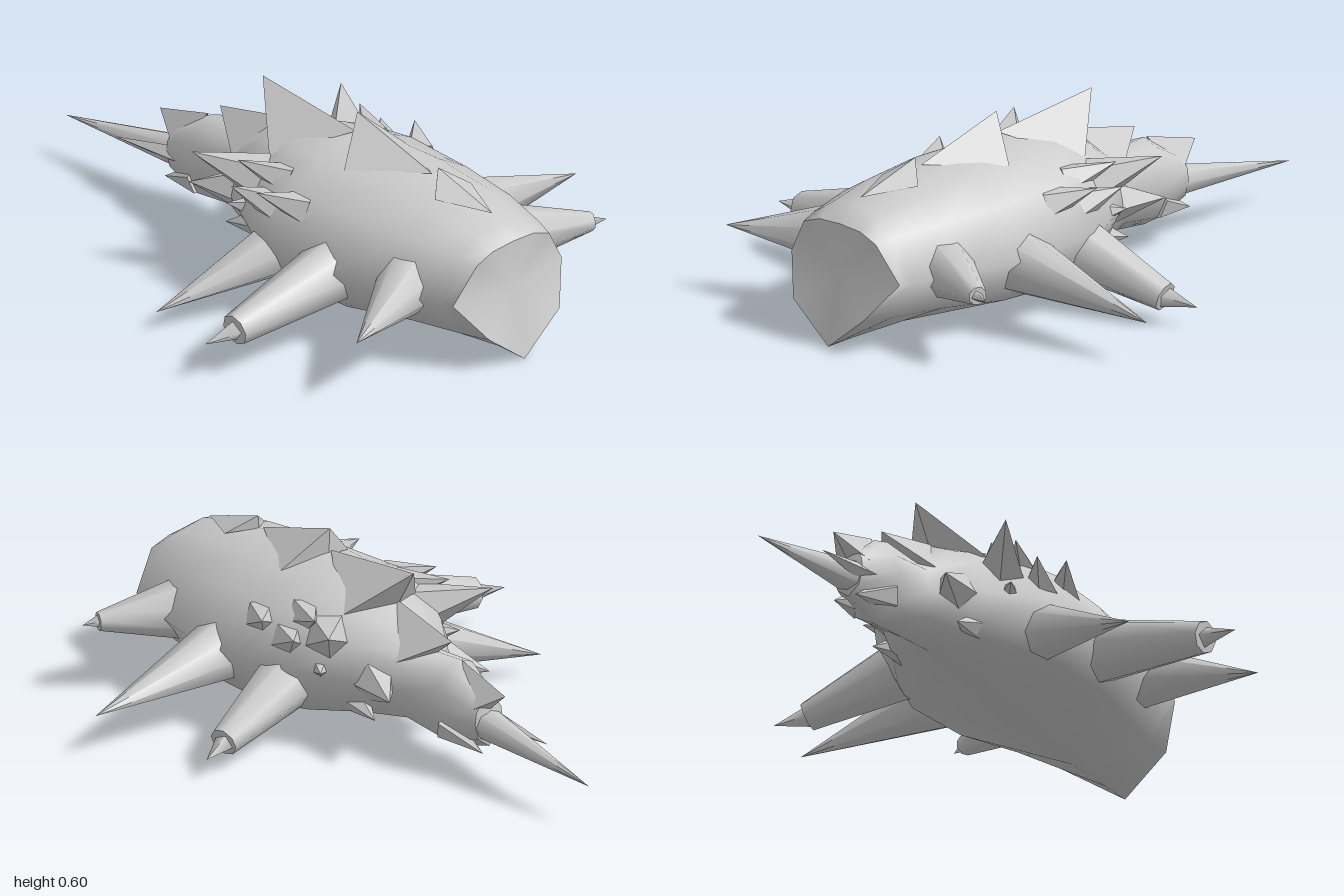
import * as THREE from 'three';

const material = new THREE.MeshStandardMaterial({ color: 0xcccccc, side: THREE.DoubleSide });
const flatMaterial = new THREE.MeshStandardMaterial({ color: 0xcccccc, side: THREE.DoubleSide, flatShading: true });

// Body rings, front to back: z, top y, four x/y pairs down the flank, bottom y
const RINGS = [
  [0.95, 0.39, 0.09, 0.385, 0.16, 0.36, 0.24, 0.24, 0.155, 0.12, 0],
  [0.89, 0.44, 0.1, 0.42, 0.18, 0.37, 0.26, 0.24, 0.17, 0.11, 0.005],
  [0.72, 0.48, 0.12, 0.45, 0.22, 0.39, 0.32, 0.25, 0.21, 0.11, 0.012],
  [0.5, 0.505, 0.13, 0.47, 0.25, 0.4, 0.365, 0.25, 0.27, 0.1, 0.03],
  [0.25, 0.52, 0.13, 0.47, 0.26, 0.41, 0.355, 0.26, 0.28, 0.1, 0.07],
  [0.1, 0.51, 0.12, 0.46, 0.23, 0.41, 0.31, 0.26, 0.23, 0.11, 0.095],
  [-0.06, 0.46, 0.09, 0.42, 0.17, 0.36, 0.21, 0.25, 0.14, 0.13, 0.1],
  [-0.2, 0.35, 0.05, 0.335, 0.09, 0.3, 0.1, 0.23, 0.08, 0.14, 0.092],
  [-0.36, 0.365, 0.05, 0.345, 0.085, 0.29, 0.1, 0.22, 0.07, 0.12, 0.08],
  [-0.5, 0.28, 0.03, 0.27, 0.05, 0.24, 0.055, 0.2, 0.04, 0.15, 0.12],
];

// Full closed outline of one ring; the first ring has a bent front rim
function outline(r, first) {
  const half = [[0, r[1]], [r[2], r[3]], [r[4], r[5]], [r[6], r[7]], [r[8], r[9]], [0, r[10]]];
  const mirrored = half.slice(1, 5).reverse().map(([x, y]) => [-x, y]);
  return [...half, ...mirrored].map(([x, y]) => {
    const z = !first ? r[0] : y < 0.2 ? 1 : y < 0.3 ? 0.925 : 0.95;
    return new THREE.Vector3(x, y, z);
  });
}

function geometryFrom(points, index) {
  const g = new THREE.BufferGeometry().setFromPoints(points);
  g.setIndex(index);
  g.computeVertexNormals();
  return g;
}

function add(group, name, geometry, mat = material) {
  const mesh = new THREE.Mesh(geometry, mat);
  mesh.name = name;
  group.add(mesh);
  return mesh;
}

function cap(ring, centre, flip) {
  const index = [];
  ring.forEach((_, i) => {
    const j = (i + 1) % ring.length;
    index.push(ring.length, ...(flip ? [i, j] : [j, i]));
  });
  return geometryFrom([...ring, new THREE.Vector3(...centre)], index);
}

// Tapered limb between two points; a zero end radius makes a spike
function taper(group, name, a, b, ra, rb = 0, sides = 8, flat = false) {
  const start = new THREE.Vector3(...a);
  const dir = new THREE.Vector3(...b).sub(start);
  const g = new THREE.CylinderGeometry(rb, ra, dir.length(), sides, 1);
  const mesh = add(group, name, g, flat ? flatMaterial : material);
  mesh.position.copy(start).addScaledVector(dir, 0.5);
  mesh.quaternion.setFromUnitVectors(new THREE.Vector3(0, 1, 0), dir.normalize());
}

// Overhanging plate on the back: forward point, two side corners, tip and underside
function backPlate(group, tipY, tipZ, width, sideY, sideZ, frontY, frontZ, underY, underZ) {
  const p = [
    [0, frontY, frontZ], [width, sideY, sideZ], [0, tipY, tipZ],
    [-width, sideY, sideZ], [0, underY, underZ],
  ].map((v) => new THREE.Vector3(...v));
  add(group, 'backPlate', geometryFrom(p, [0, 2, 1, 0, 3, 2, 1, 2, 4, 2, 3, 4]), flatMaterial);
}

export function createModel() {
  const model = new THREE.Group();
  model.name = 'spikedCreature';

  // Lofted body with end caps
  const rings = RINGS.map((r, i) => outline(r, i === 0));
  const n = rings[0].length;
  const index = [];
  for (let k = 0; k < rings.length - 1; k++) {
    for (let i = 0; i < n; i++) {
      const a = k * n + i, b = k * n + (i + 1) % n;
      index.push(a, b, a + n, b, b + n, a + n);
    }
  }
  add(model, 'body', geometryFrom(rings.flat(), index));
  add(model, 'face', cap(rings[0], [0, 0.24, 0.95], false));
  add(model, 'tailEnd', cap(rings[rings.length - 1], [0, 0.2, -0.52], true));

  // Row of plates along the spine
  const spine = new THREE.Group();
  spine.name = 'spinePlates';
  backPlate(spine, 0.53, 0.625, 0.08, 0.47, 0.69, 0.455, 0.86, 0.49, 0.62);
  backPlate(spine, 0.6, 0.275, 0.135, 0.47, 0.35, 0.5, 0.6, 0.51, 0.28);
  backPlate(spine, 0.58, -0.135, 0.15, 0.42, 0.04, 0.53, 0.27, 0.44, -0.05);
  backPlate(spine, 0.41, -0.32, 0.1, 0.32, -0.17, 0.47, -0.04, 0.33, -0.22);
  backPlate(spine, 0.31, -0.58, 0.06, 0.24, -0.47, 0.365, -0.37, 0.24, -0.5);
  model.add(spine);

  // Legs: one of each pair is a plain spike, the other is blunt with a claw
  const legs = new THREE.Group();
  legs.name = 'legs';
  taper(legs, 'rightFrontLeg', [-0.22, 0.25, 0.72], [-0.6, 0.22, 0.86], 0.105);
  taper(legs, 'leftFrontLeg', [0.22, 0.25, 0.72], [0.48, 0.24, 0.82], 0.1, 0.03);
  taper(legs, 'leftFrontClaw', [0.47, 0.24, 0.82], [0.53, 0.235, 0.835], 0.022, 0, 4);
  taper(legs, 'leftMiddleLeg', [0.28, 0.22, 0.45], [0.82, 0.14, 0.42], 0.105);
  taper(legs, 'rightMiddleLeg', [-0.28, 0.22, 0.45], [-0.7, 0.15, 0.43], 0.105, 0.052);
  taper(legs, 'rightMiddleClaw', [-0.69, 0.15, 0.43], [-0.82, 0.14, 0.42], 0.035, 0, 4);
  taper(legs, 'rightRearLeg', [-0.22, 0.2, 0.19], [-0.67, 0.07, 0.06], 0.1);
  taper(legs, 'leftRearLeg', [0.22, 0.21, 0.18], [0.57, 0.09, 0.1], 0.105, 0.048);
  taper(legs, 'leftRearClaw', [0.56, 0.09, 0.1], [0.67, 0.07, 0.06], 0.035, 0, 4);
  model.add(legs);

  // Flank spikes, mirrored: tip, base centre, base radius
  const spikes = [
    [[0.33, 0.44, -0.12], [0.19, 0.36, 0.05], 0.08],
    [[0.2, 0.24, -0.26], [0.11, 0.25, -0.06], 0.09],
    [[0.16, 0.13, -0.14], [0.13, 0.17, 0.02], 0.06],
    [[0.27, 0.44, 0.02], [0.19, 0.39, 0.17], 0.06],
    [[0.33, 0.38, 0.05], [0.24, 0.32, 0.19], 0.07],
    [[0.35, 0.41, 0.18], [0.25, 0.36, 0.3], 0.06],
    [[0.28, 0.28, -0.02], [0.18, 0.26, 0.1], 0.07],
    [[0.1, 0.11, -0.52], [0.05, 0.16, -0.36], 0.05],
  ];
  for (const side of [1, -1]) {
    const flank = new THREE.Group();
    flank.name = side > 0 ? 'leftFlankSpikes' : 'rightFlankSpikes';
    for (const [tip, base, radius] of spikes) {
      const narrow = tip[2] < -0.5 ? 0.4 : 1;
      taper(flank, 'flankSpike', [side * base[0], base[1], base[2]],
        [side * tip[0] * narrow, tip[1], tip[2]], radius, 0, 5, true);
    }
    model.add(flank);
  }

  // Long tail spike with a small shard beside it
  taper(model, 'tailSpike', [0, 0.2, -0.42], [0, 0.14, -0.99], 0.06);
  taper(model, 'tailShard', [-0.035, 0.2, -0.44], [-0.055, 0.18, -0.72], 0.035, 0, 4, true);
  return model;
}
